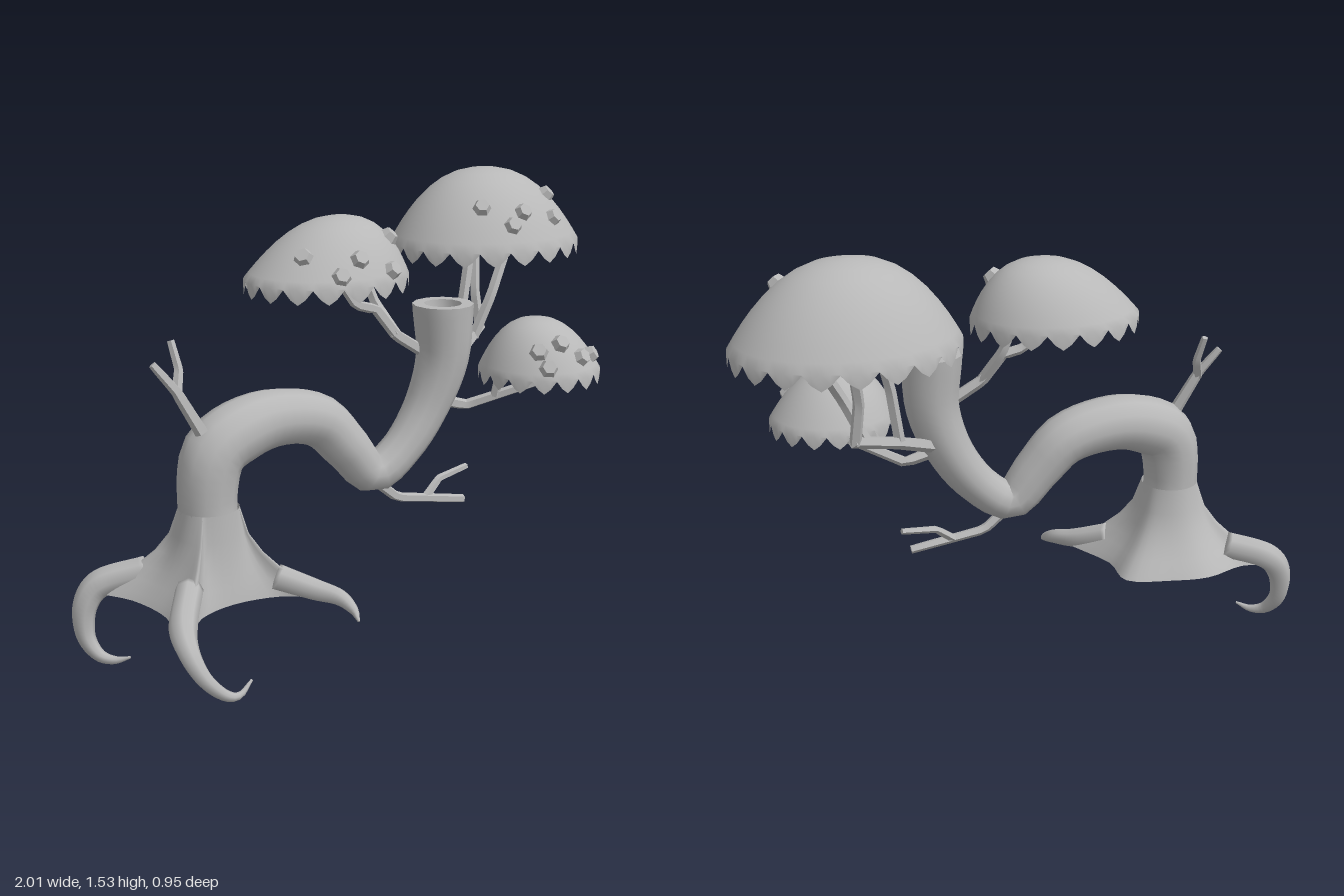
import * as THREE from 'three';
import { toCreasedNormals } from 'three/addons/utils/BufferGeometryUtils.js';

const V = (x, y, z) => new THREE.Vector3(x, y, z);
const grey = new THREE.MeshStandardMaterial({ color: 0xb8b8b8, side: THREE.DoubleSide });
grey.name = 'plain grey';

// Skin a list of equally sized closed rings
function loft(rings, crease) {
  const n = rings[0].length, pos = [], idx = [];
  rings.forEach(r => r.forEach(p => pos.push(p.x, p.y, p.z)));
  for (let i = 0; i < rings.length - 1; i++) {
    for (let j = 0; j < n; j++) {
      const a = i * n + j, b = i * n + (j + 1) % n;
      idx.push(a, b, a + n, b, b + n, a + n);
    }
  }
  const g = new THREE.BufferGeometry();
  g.setAttribute('position', new THREE.Float32BufferAttribute(pos, 3));
  g.setIndex(idx);
  g.computeVertexNormals();
  return crease ? toCreasedNormals(g, crease) : g;
}

// Rings along a curve; each point is [x, y, z, radius]
function sweep(points, sides, tension, steps) {
  const curve = new THREE.CatmullRomCurve3(points.map(p => V(p[0], p[1], p[2])), false, 'catmullrom', tension);
  const n = (points.length - 1) * steps;
  const frames = curve.computeFrenetFrames(n, false);
  const rings = [];
  for (let i = 0; i <= n; i++) {
    const u = i / n, c = curve.getPointAt(u);
    const t = curve.getUtoTmapping(u) * (points.length - 1);
    const k = Math.min(Math.floor(t), points.length - 2);
    const r = THREE.MathUtils.lerp(points[k][3], points[k + 1][3], t - k);
    rings.push(Array.from({ length: sides }, (_, j) => {
      const a = j / sides * Math.PI * 2;
      return c.clone().addScaledVector(frames.normals[i], r * Math.cos(a))
        .addScaledVector(frames.binormals[i], r * Math.sin(a));
    }));
  }
  return rings;
}

function centre(ring) {
  return ring.reduce((s, p) => s.add(p), V(0, 0, 0)).divideScalar(ring.length);
}

// Copy of a ring shrunk about its centre and moved vertically
function shrink(ring, s, dy = 0) {
  const c = centre(ring);
  return ring.map(p => p.clone().sub(c).multiplyScalar(s).add(c).add(V(0, dy, 0)));
}

function add(group, name, geometry) {
  const m = new THREE.Mesh(geometry, grey);
  m.name = name;
  group.add(m);
  return m;
}

function addLimb(group, name, points, sides, tension, crease) {
  const rings = sweep(points, sides, tension, 6);
  rings.unshift(shrink(rings[0], 0));
  rings.push(shrink(rings[rings.length - 1], 0));
  add(group, name, loft(rings, crease));
}

// Dome of leaves with a toothed hem and raised knobs on the front
function addCanopy(group, { name, c, R, H, drop, skew, teeth, knobs }) {
  const canopy = new THREE.Group();
  canopy.name = name;
  const POW = 2.4, sides = teeth * 4, rings = [];
  const ring = (rho, y) => Array.from({ length: sides }, (_, j) => {
    const a = j / sides * Math.PI * 2;
    const h = 1 - rho ** POW;
    return V(c[0] + skew * h + R[0] * rho * Math.cos(a), y ?? c[1] + H * h, c[2] + R[1] * rho * Math.sin(a));
  });
  for (const rho of [0, 0.15, 0.3, 0.45, 0.58, 0.7, 0.8, 0.88, 0.95, 1]) rings.push(ring(rho));
  const hem = [0.05, 0.65, 1, 0.65];
  rings.push(ring(1, c[1]).map((p, j) => p.setY(c[1] - drop * hem[j % 4])));
  add(canopy, 'leafDome', loft(rings));

  for (const [x, y] of knobs) {
    const h = (y - c[1]) / H, rho = (1 - h) ** (1 / POW);
    const dx = (x - c[0] - skew * h) / R[0];
    const dz = Math.sqrt(Math.max(0, rho * rho - dx * dx));
    const k = H * POW * rho ** (POW - 2);
    const normal = V(k * dx / R[0], 1, k * dz / R[1]).normalize();
    const knob = add(canopy, 'leafKnob', toCreasedNormals(new THREE.CylinderGeometry(0.024, 0.036, 0.03, 6), 0.5));
    knob.position.set(x, y, c[2] + R[1] * dz).addScaledVector(normal, 0.006);
    knob.quaternion.setFromUnitVectors(V(0, 1, 0), normal);
  }
  group.add(canopy);
}

export function createModel() {
  const tree = new THREE.Group();
  tree.name = 'twistedTree';

  // Bent trunk, ending in a hollow stump
  const trunk = sweep([
    [-0.6, 0.42, 0, 0.1], [-0.62, 0.55, 0, 0.096], [-0.595, 0.71, 0, 0.105], [-0.5, 0.775, 0, 0.105],
    [-0.36, 0.8, 0, 0.097], [-0.2, 0.765, 0.01, 0.09], [-0.1, 0.66, 0.03, 0.082], [-0.005, 0.555, 0.045, 0.07],
    [0.11, 0.625, 0.055, 0.07], [0.21, 0.76, 0.06, 0.078], [0.27, 0.93, 0.07, 0.092], [0.27, 1.12, 0.07, 0.106],
  ], 12, 0.5, 4);
  const top = trunk[trunk.length - 1];
  top.forEach(p => { p.y = 1.12; });
  trunk.push(shrink(top, 0.62), shrink(top, 0.55, -0.05), shrink(top, 0, -0.05));
  add(tree, 'trunk', loft(trunk, 0.9));

  // Hollow flared foot, blending from a round neck to a lobed rim
  const rim = new THREE.CatmullRomCurve3([
    [-0.39, 0.02], [-0.32, 0.25], [-0.44, 0.16], [-0.6, 0.13], [-0.74, 0.17], [-0.88, 0.32], [-0.83, 0.1],
    [-0.86, -0.08], [-0.94, -0.23], [-0.82, -0.2], [-0.66, -0.23], [-0.53, -0.2], [-0.38, -0.13],
  ].map(([x, z]) => V(x, 0.24, z)), true).getPoints(52).slice(0, 52);
  const foot = [[0, 0.24], [0.12, 0.265], [0.32, 0.3], [0.53, 0.34], [0.73, 0.39], [0.89, 0.45], [1, 0.54]];
  add(tree, 'flaredFoot', loft(foot.map(([t, y]) => rim.map(p => {
    const a = Math.atan2(p.z, p.x + 0.615);
    return V(-0.615 + 0.1 * Math.cos(a), 0, 0.1 * Math.sin(a)).lerp(p, 1 - t).setY(y);
  }))));

  // Hooked roots
  const roots = {
    backRoot: [[-0.78, 0.31, -0.14, 0.05], [-0.91, 0.27, -0.21, 0.05], [-0.965, 0.2, -0.225, 0.042],
      [-0.975, 0.1, -0.215, 0.032], [-0.95, 0.035, -0.18, 0.022], [-0.91, 0.018, -0.14, 0.014], [-0.87, 0.033, -0.1, 0.004]],
    frontRoot: [[-0.76, 0.33, 0.13, 0.045], [-0.86, 0.285, 0.28, 0.045], [-0.895, 0.25, 0.38, 0.034],
      [-0.875, 0.18, 0.435, 0.025], [-0.82, 0.12, 0.455, 0.018], [-0.77, 0.105, 0.46, 0.012], [-0.72, 0.14, 0.45, 0.004]],
    sideRoot: [[-0.44, 0.3, 0.13, 0.045], [-0.35, 0.265, 0.22, 0.037], [-0.3, 0.25, 0.29, 0.028],
      [-0.285, 0.225, 0.35, 0.016], [-0.29, 0.2, 0.39, 0.004]],
  };
  for (const name in roots) addLimb(tree, name, roots[name], 8, 0.5);

  // Branches and twigs, [x, y, z] corners with start and end radius
  const branches = {
    rightCanopyBranch: [[[0.27, 0.8, 0.04], [0.44, 0.88, -0.07], [0.63, 0.95, -0.175]], 0.024, 0.02],
    rightCanopyStemA: [[[0.44, 0.88, -0.07], [0.47, 1.07, -0.08], [0.54, 1.31, -0.12]], 0.02, 0.018],
    rightCanopyStemB: [[[0.62, 0.94, -0.17], [0.61, 1.08, -0.19], [0.66, 1.33, -0.26]], 0.02, 0.018],
    rightCanopyStemC: [[[0.57, 0.92, -0.14], [0.64, 1.07, -0.13], [0.78, 1.31, -0.18]], 0.02, 0.018],
    leftCanopyBranch: [[[0.24, 0.93, 0.06], [0.11, 1.02, 0.02], [0.05, 1.11, -0.01], [-0.02, 1.13, -0.03], [-0.1, 1.26, -0.06]], 0.022, 0.016],
    leftCanopyStem: [[[0.11, 1.02, 0.02], [0.06, 1.13, -0.04], [0.01, 1.27, -0.06]], 0.02, 0.016],
    frontCanopyBranch: [[[0.25, 0.78, 0.06], [0.37, 0.745, 0.08], [0.58, 0.835, 0.23]], 0.022, 0.016],
    frontCanopyStem: [[[0.45, 0.78, 0.14], [0.455, 0.84, 0.15], [0.49, 0.93, 0.19]], 0.018, 0.014],
    lowBranch: [[[0.01, 0.52, 0.05], [0.09, 0.45, 0.06], [0.35, 0.405, 0.1]], 0.02, 0.015],
    lowTwig: [[[0.2, 0.43, 0.075], [0.27, 0.485, 0.06], [0.4, 0.505, 0.05]], 0.016, 0.011],
    deadBranch: [[[-0.64, 0.8, 0.02], [-0.71, 0.94, -0.01], [-0.775, 1.03, -0.04]], 0.024, 0.013],
    deadTwig: [[[-0.71, 0.93, -0.01], [-0.685, 1.0, -0.04], [-0.695, 1.09, -0.07]], 0.018, 0.012],
  };
  for (const name in branches) {
    const [pts, r0, r1] = branches[name];
    const points = pts.map((p, i) => [...p, THREE.MathUtils.lerp(r0, r1, i / (pts.length - 1))]);
    addLimb(tree, name, points, 5, 0, 0.6);
  }

  // Leaf canopies
  addCanopy(tree, {
    name: 'leftCanopy', c: [-0.123, 1.24, -0.05], R: [0.288, 0.24], H: 0.195, drop: 0.05, skew: 0.05, teeth: 17,
    knobs: [[-0.28, 1.33], [-0.2, 1.275], [-0.12, 1.32], [0.0, 1.275], [0.06, 1.365]],
  });
  addCanopy(tree, {
    name: 'rightCanopy', c: [0.635, 1.275, -0.17], R: [0.362, 0.305], H: 0.26, drop: 0.05, skew: -0.01, teeth: 20,
    knobs: [[0.48, 1.42], [0.62, 1.4], [0.76, 1.37], [0.8, 1.44], [0.56, 1.36]],
  });
  addCanopy(tree, {
    name: 'frontCanopy', c: [0.567, 0.89, 0.235], R: [0.215, 0.205], H: 0.178, drop: 0.045, skew: -0.02, teeth: 16,
    knobs: [[0.46, 0.98], [0.47, 0.93], [0.54, 1.0], [0.61, 0.95], [0.68, 0.945]],
  });

  return tree;
}
